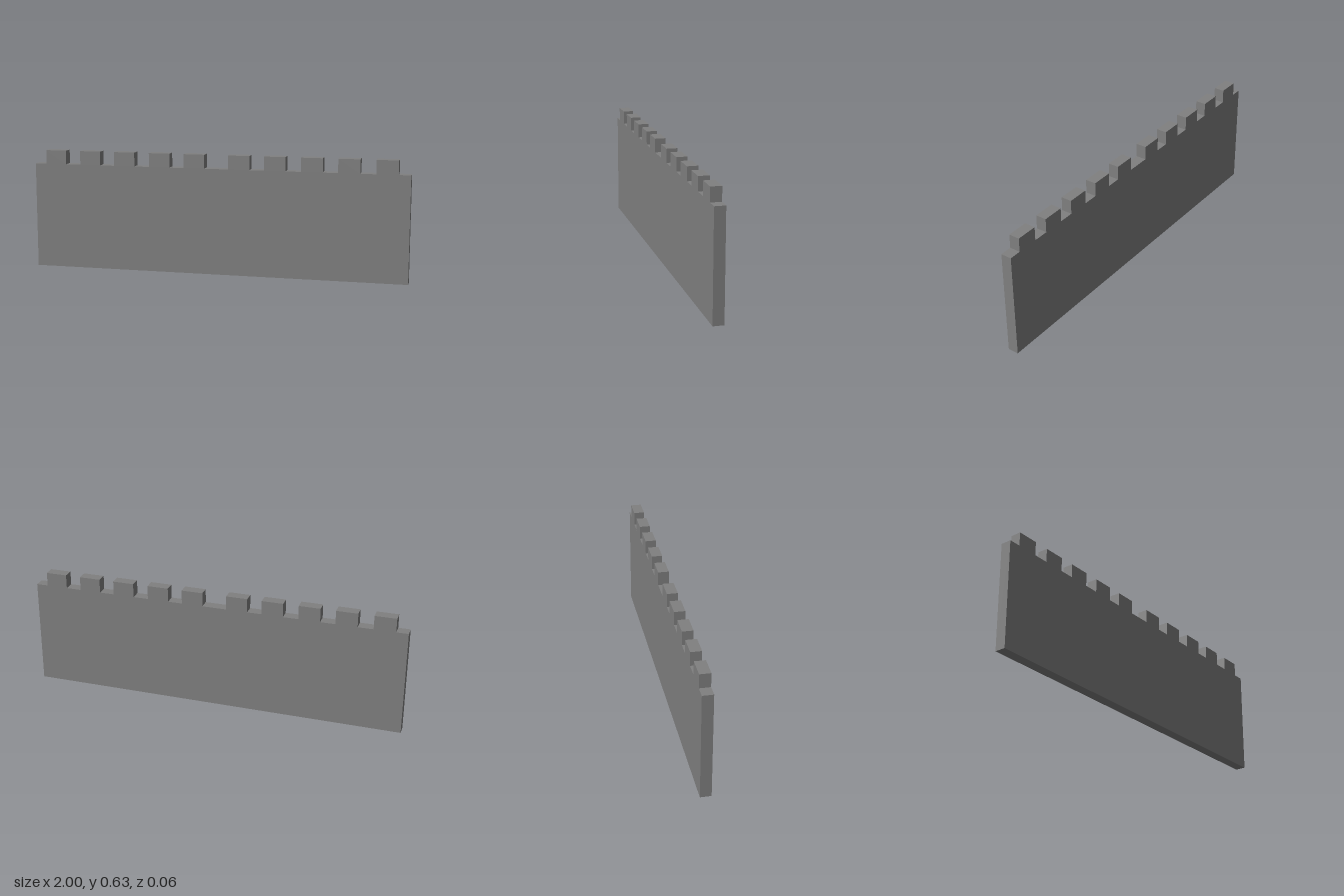
import * as THREE from 'three';

const WALL_TOP = 0.56, MERLON_TOP = 0.633, DEPTH = 0.056, MERLON_WIDTH = 0.112;
const HALF_CENTRES = [0.12, 0.308, 0.5, 0.69, 0.882]; // merlons on one half

export function createModel() {
  const group = new THREE.Group();
  group.name = 'battlementWall';

  // Wall outline, with the mirrored merlons traced from right to left
  const centres = [...HALF_CENTRES, ...HALF_CENTRES.map((x) => -x)].sort((a, b) => b - a);
  const outline = new THREE.Shape();
  outline.moveTo(-1, 0);
  outline.lineTo(1, 0);
  outline.lineTo(1, WALL_TOP);
  for (const x of centres) {
    const right = x + MERLON_WIDTH / 2, left = x - MERLON_WIDTH / 2;
    outline.lineTo(right, WALL_TOP);
    outline.lineTo(right, MERLON_TOP);
    outline.lineTo(left, MERLON_TOP);
    outline.lineTo(left, WALL_TOP);
  }
  outline.lineTo(-1, WALL_TOP);
  outline.closePath();

  // One solid slab, centred on z = 0
  const geometry = new THREE.ExtrudeGeometry(outline, { depth: DEPTH, bevelEnabled: false });
  geometry.translate(0, 0, -DEPTH / 2);
  const wall = new THREE.Mesh(
    geometry,
    new THREE.MeshStandardMaterial({ color: 0x808080, flatShading: true })
  );
  wall.name = 'crenellatedWall';
  group.add(wall);
  return group;
}
